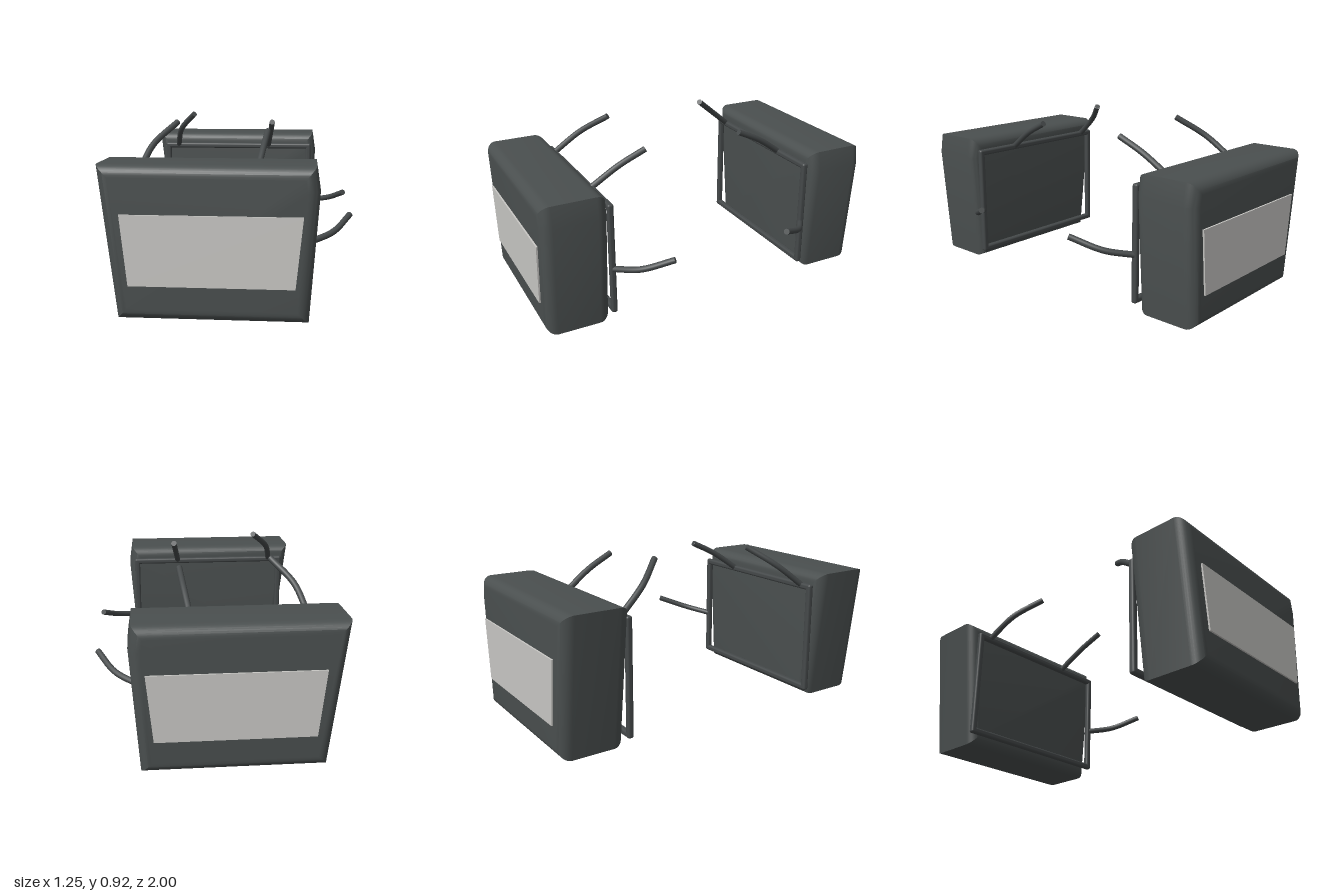
import * as THREE from 'three';
import { toCreasedNormals } from 'three/addons/utils/BufferGeometryUtils.js';
import { RoundedBoxGeometry } from 'three/addons/geometries/RoundedBoxGeometry.js';

const mat = (name, color) => {
  const m = new THREE.MeshStandardMaterial({ color });
  m.name = name;
  return m;
};

const shapeOf = (pts) => new THREE.Shape(pts.map(([x, y]) => new THREE.Vector2(x, y)));

export function createModel() {
  const caseGrey = mat('caseGrey', 0x4a4f4f);
  const frameGrey = mat('frameGrey', 0x45494a);
  const panelGrey = mat('panelGrey', 0xc8c7c4);

  const add = (parent, name, geometry, material, x = 0, y = 0, z = 0) => {
    const mesh = new THREE.Mesh(geometry, material);
    mesh.name = name;
    mesh.position.set(x, y, z);
    parent.add(mesh);
    return mesh;
  };

  // Tapered case with rounded inner and outer rims, centred on its own depth
  const depth = 0.36, round = 0.06;
  let caseGeo = new THREE.ExtrudeGeometry(
    shapeOf([[-0.54, 0], [0.39, 0], [0.437, 0.64], [0.42, 0.757], [-0.627, 0.757]]),
    { depth: depth - 2 * round, bevelThickness: round, bevelSize: round, bevelOffset: -round, bevelSegments: 8 }
  );
  caseGeo.translate(0, 0, -depth / 2 + round);
  caseGeo = toCreasedNormals(caseGeo, 0.5);

  // Pale plate on the outer face
  const plateGeo = new THREE.ExtrudeGeometry(
    shapeOf([[-0.475, 0.178], [0.325, 0.178], [0.36, 0.525], [-0.51, 0.525]]),
    { depth: 0.009, bevelEnabled: false }
  );
  plateGeo.translate(0, 0, -0.0045);

  // Mounting frame limits and bar thickness
  const [x0, x1, y0, y1, t] = [-0.575, 0.405, 0.047, 0.692, 0.034];
  const barAcross = new RoundedBoxGeometry(x1 - x0, t, t, 3, 0.012);
  const barUp = new RoundedBoxGeometry(t, y1 - y0, t, 3, 0.012);

  // Curved struts from the frame towards the middle
  const struts = {
    rearStrut: [[-0.49, 0.68, 0.605], [-0.445, 0.8, 0.455], [-0.338, 0.907, 0.312]],
    middleStrut: [[0.12, 0.68, 0.605], [0.142, 0.785, 0.45], [0.158, 0.86, 0.298]],
    frontStrut: [[0.392, 0.313, 0.605], [0.517, 0.346, 0.5], [0.612, 0.409, 0.347]],
  };
  const strutRadius = 0.017;

  const model = new THREE.Group();
  model.name = 'panniers';

  for (const s of [1, -1]) {
    const side = new THREE.Group();
    side.name = s > 0 ? 'nearPannier' : 'farPannier';
    model.add(side);

    add(side, 'case', caseGeo, caseGrey, 0, 0, s * 0.808);
    add(side, 'outerPlate', plateGeo, panelGrey, 0, 0, s * 0.9955);

    const frame = new THREE.Group();
    frame.name = 'mountingFrame';
    side.add(frame);
    const z = s * 0.608;
    for (const y of [y0 + t / 2, y1 - t / 2]) add(frame, 'crossBar', barAcross, frameGrey, (x0 + x1) / 2, y, z);
    for (const x of [x0 + t / 2, x1 - t / 2]) add(frame, 'uprightBar', barUp, frameGrey, x, (y0 + y1) / 2, z);

    for (const [name, pts] of Object.entries(struts)) {
      const curve = new THREE.CatmullRomCurve3(pts.map(([px, py, pz]) => new THREE.Vector3(px, py, s * pz)));
      add(side, name, new THREE.TubeGeometry(curve, 20, strutRadius, 12), frameGrey);
      // Flat caps close both ends
      for (const u of [0, 1]) {
        const p = curve.getPointAt(u);
        const cap = add(side, name + 'Cap', new THREE.CircleGeometry(strutRadius, 12), frameGrey, p.x, p.y, p.z);
        const out = curve.getTangentAt(u).multiplyScalar(u ? 1 : -1);
        cap.quaternion.setFromUnitVectors(new THREE.Vector3(0, 0, 1), out);
      }
    }
  }
  return model;
}
